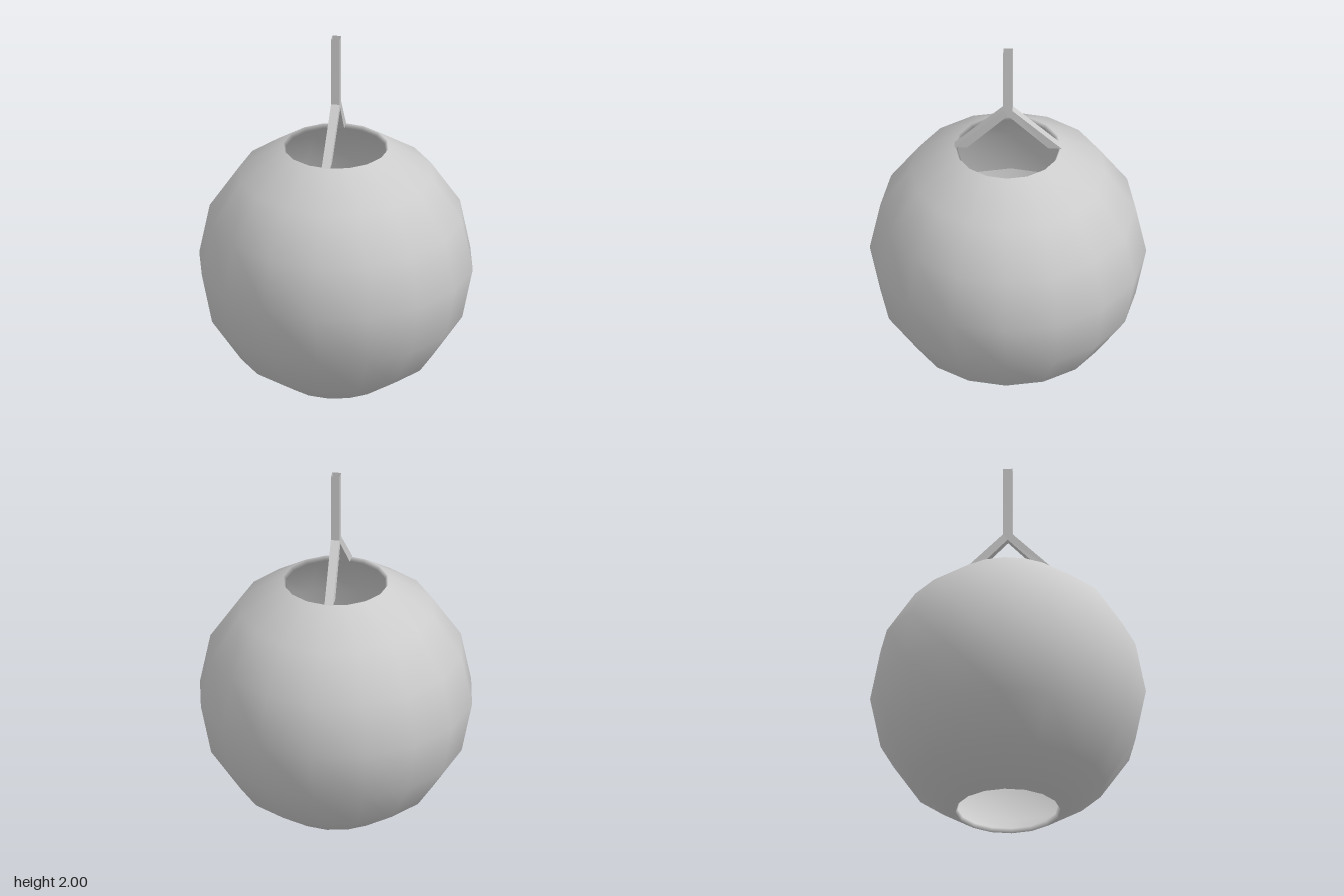
import * as THREE from 'three';

const R = 0.735, CENTRE = 0.683, WALL = 0.026;
const TOP = 2, HALF = 0.023;

// Hollow sphere, open at both poles, with a thin wall
function createShade(material) {
  const outer = [], inner = [];
  for (let i = 1; i <= 7; i++) {
    const a = (i * Math.PI) / 8;
    outer.push(new THREE.Vector2(R * Math.sin(a), CENTRE - R * Math.cos(a)));
    // at the rims the wall is offset square to the last band
    const n = i === 1 ? a * 1.5 : i === 7 ? Math.PI - (Math.PI / 8) * 1.5 : a;
    const p = outer[i - 1];
    inner.push(new THREE.Vector2(p.x - WALL * Math.sin(n), p.y + WALL * Math.cos(n)));
  }
  inner.reverse();
  // closed loop that starts and ends on the inner equator
  const profile = [...inner.slice(3), ...outer, ...inner.slice(0, 4)];
  const mesh = new THREE.Mesh(new THREE.LatheGeometry(profile, 16), material);
  mesh.name = 'shade';
  return mesh;
}

// Half of the forked cord: half the upright, bending out into one arm
function createCordHalf(side, material) {
  // each section: outer [z, y], inner [z, y], sideways shift in x
  const sections = [
    { out: [0.025, TOP], inn: [0, TOP], x: 0 },
    { out: [0.025, 1.617], inn: [0, 1.585], x: 0 },
    { out: [0.285, 1.362], inn: [0.217, 1.362], x: -0.012 },
  ];
  const corners = sections.map(({ out, inn, x }) => [
    [x - HALF, inn[1], side * inn[0]],
    [x - HALF, out[1], side * out[0]],
    [x + HALF, out[1], side * out[0]],
    [x + HALF, inn[1], side * inn[0]],
  ]);
  const pos = [];
  for (let s = 0; s < 2; s++) {
    // the upright has no wall where its two halves meet
    for (let k = 0; k < (s === 0 ? 3 : 4); k++) {
      const j = (k + 1) % 4;
      const a = corners[s][k], b = corners[s][j];
      const c = corners[s + 1][j], d = corners[s + 1][k];
      const quad = side > 0 ? [a, d, c, a, c, b] : [a, c, d, a, b, c];
      pos.push(...quad.flat());
    }
  }
  const geometry = new THREE.BufferGeometry();
  geometry.setAttribute('position', new THREE.Float32BufferAttribute(pos, 3));
  geometry.computeVertexNormals();
  const mesh = new THREE.Mesh(geometry, material);
  mesh.name = side > 0 ? 'cordFront' : 'cordBack';
  return mesh;
}

export function createModel() {
  const group = new THREE.Group();
  group.name = 'pendantLamp';
  const smooth = new THREE.MeshStandardMaterial({ color: 0xcccccc });
  const flat = new THREE.MeshStandardMaterial({
    color: 0xcccccc, flatShading: true, side: THREE.DoubleSide,
  });
  group.add(createShade(smooth));

  const cord = new THREE.Group();
  cord.name = 'cord';
  for (const side of [1, -1]) cord.add(createCordHalf(side, flat));
  group.add(cord);
  return group;
}
